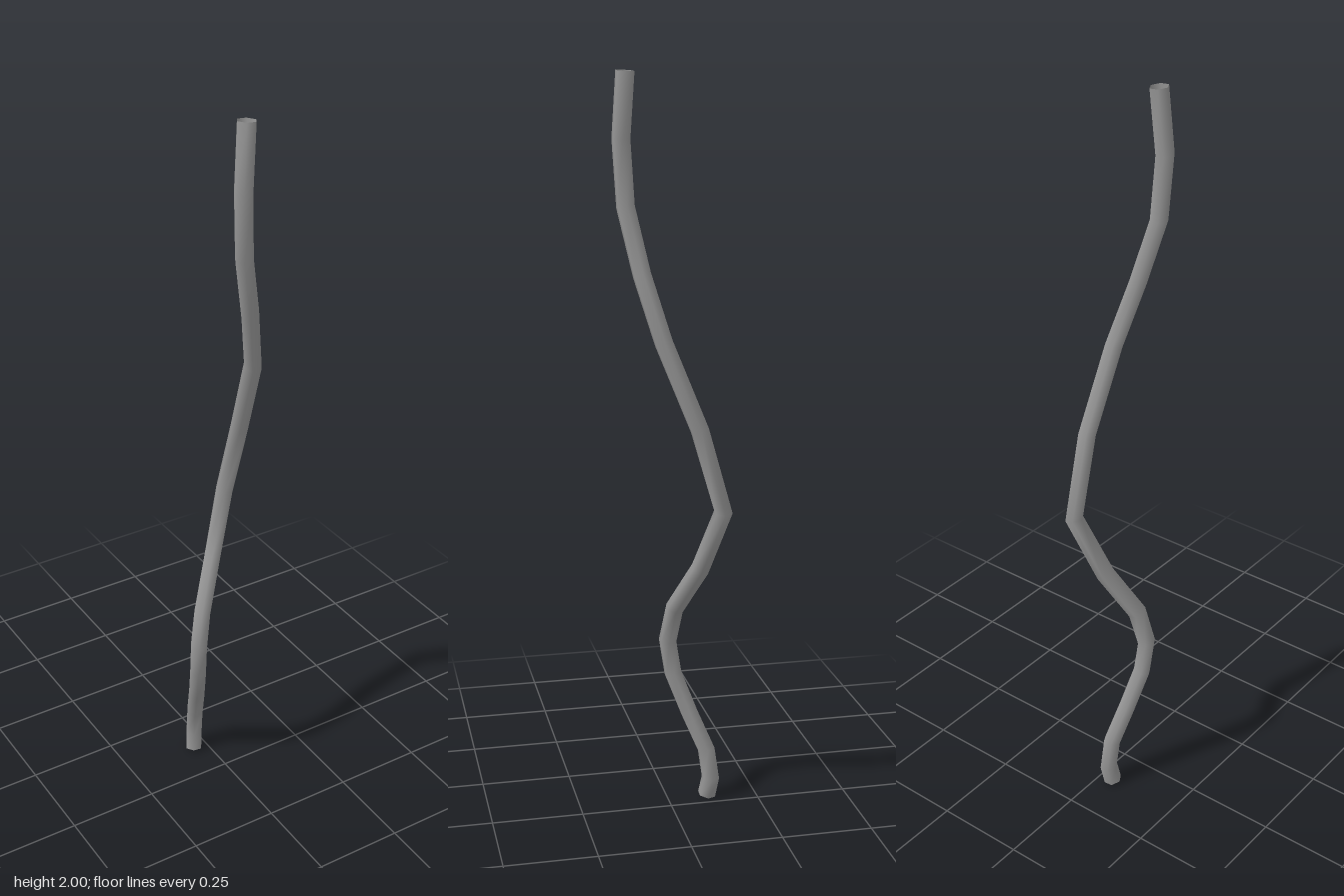
import * as THREE from 'three';

const SIDES = 6;
const RADIUS = 0.0255;

// Centre line of the rod, bottom to top
const PATH = [
  [-0.042, 0.006, -0.111], [-0.035, 0.06, -0.12], [-0.038, 0.145, -0.108],
  [-0.057, 0.25, -0.064], [-0.077, 0.365, -0.021], [-0.082, 0.46, -0.007],
  [-0.061, 0.56, -0.022], [0.006, 0.69, -0.078], [0.074, 0.865, -0.124],
  [0.08, 1.09, -0.058], [0.062, 1.32, 0.034], [0.022, 1.49, 0.082],
  [-0.018, 1.66, 0.116], [-0.027, 1.83, 0.125], [-0.014, 1.998, 0.116],
].map((p) => new THREE.Vector3(...p));

// Corners of the hexagonal section at path point i, square to the path
function ring(i) {
  const p = PATH[i];
  const before = p.clone().sub(PATH[Math.max(i - 1, 0)]).normalize();
  const after = PATH[Math.min(i + 1, PATH.length - 1)].clone().sub(p).normalize();
  const t = before.add(after).normalize();
  const u = new THREE.Vector3(1, 0, 0).addScaledVector(t, -t.x).normalize();
  const w = u.clone().cross(t);
  return Array.from({ length: SIDES }, (_, k) => {
    const a = (k / SIDES) * Math.PI * 2;
    return p.clone()
      .addScaledVector(u, RADIUS * Math.cos(a))
      .addScaledVector(w, RADIUS * Math.sin(a));
  });
}

export function createModel() {
  const group = new THREE.Group();
  group.name = 'bentTube';

  // Six-sided wall with smooth normals, open at both ends
  const index = [];
  for (let i = 0; i < PATH.length - 1; i++) {
    for (let k = 0; k < SIDES; k++) {
      const a = i * SIDES + k;
      const b = i * SIDES + ((k + 1) % SIDES);
      index.push(a, a + SIDES, b, b, a + SIDES, b + SIDES);
    }
  }
  const geometry = new THREE.BufferGeometry();
  geometry.setFromPoints(PATH.flatMap((_, i) => ring(i)));
  geometry.setIndex(index);
  geometry.computeVertexNormals();

  const material = new THREE.MeshStandardMaterial({ color: 0x979797, side: THREE.DoubleSide });
  const tube = new THREE.Mesh(geometry, material);
  tube.name = 'tube';
  group.add(tube);
  return group;
}
